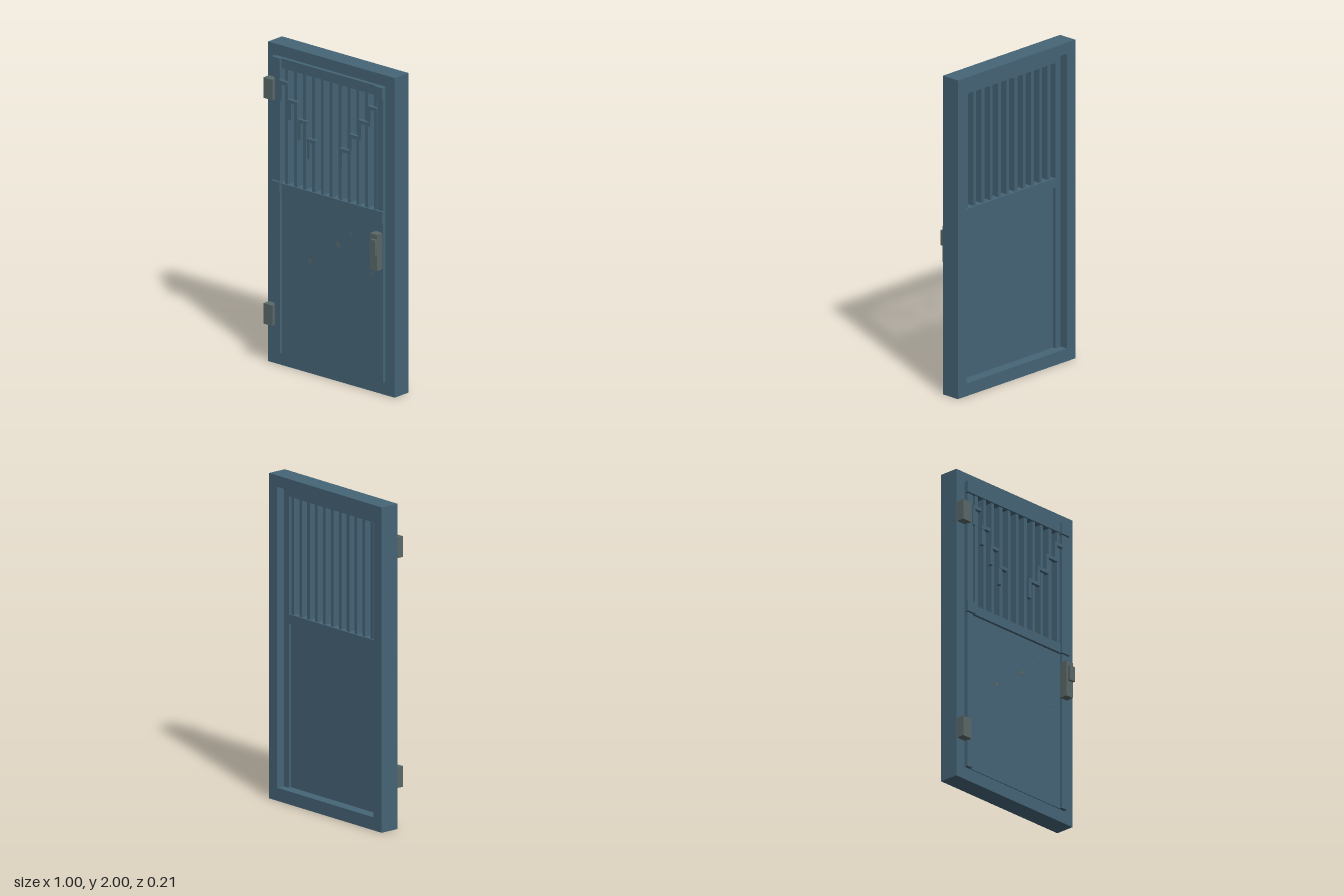
import * as THREE from 'three';

export function createModel() {
  const door = new THREE.Group();
  door.name = 'door';
  const paint = new THREE.MeshStandardMaterial({ color: 0x466577 });
  paint.name = 'blue paint';
  const metal = new THREE.MeshStandardMaterial({ color: 0x5a6868 });
  metal.name = 'worn metal';

  // Box given by its limits along each axis
  function box(name, material, x0, x1, y0, y1, z0, z1) {
    const mesh = new THREE.Mesh(new THREE.BoxGeometry(x1 - x0, y1 - y0, z1 - z0), material);
    mesh.position.set((x0 + x1) / 2, (y0 + y1) / 2, (z0 + z1) / 2);
    mesh.name = name;
    door.add(mesh);
  }

  // Outer frame with one tall opening
  const outline = new THREE.Shape([[-0.5, 0], [0.5, 0], [0.5, 2], [-0.5, 2]].map(p => new THREE.Vector2(...p)));
  outline.holes.push(new THREE.Path(
    [[-0.428, 0.08], [-0.428, 1.93], [0.428, 1.93], [0.428, 0.08]].map(p => new THREE.Vector2(...p))));
  const frame = new THREE.Mesh(new THREE.ExtrudeGeometry(outline, { depth: 0.124, bevelEnabled: false }), paint);
  frame.position.z = -0.108;
  frame.name = 'outerFrame';
  door.add(frame);

  // Leaf: stiles, rails and lower panel
  const back = -0.056, front = 0.04;
  box('leftStile', paint, 0.384, 0.428, 0.08, 1.93, back, front);
  box('rightStile', paint, -0.428, -0.384, 0.08, 1.93, back, front);
  box('topRail', paint, -0.384, 0.384, 1.87, 1.93, back, front);
  box('middleRail', paint, -0.384, 0.384, 1.087, 1.147, back, front);
  box('lowerPanel', paint, -0.384, 0.384, 0.08, 1.087, -0.038, 0.022);

  // Deep upright slats in the upper opening
  for (let i = 0; i < 11; i++) {
    const x = -0.341 + i * 0.0702;
    box('slat', paint, x - 0.0115, x + 0.0115, 1.147, 1.87, -0.045, 0.03);
  }

  // Stepped ornament, descending towards the middle on both sides
  for (let i = 0; i < 4; i++) {
    const top = 1.793 - i * 0.105;
    const sides = [[-0.389 + i * 0.0747, 0.071], [0.315 - i * 0.0747, i ? 0.095 : 0.071]];
    for (const [x, length] of sides) {
      box('ornamentStep', paint, x, x + length, top - 0.022, top, 0.025, 0.05);
      box('ornamentDrop', paint, x, x + 0.022, top - 0.127, top - 0.022, 0.025, 0.048);
    }
  }

  // Square blocks at the rail joints
  for (const x of [-0.407, 0.403])
    for (const y of [1.896, 1.12])
      box('cornerBlock', paint, x - 0.033, x + 0.033, y - 0.036, y + 0.036, 0.03, 0.055);

  // Hinges
  for (const y of [0.313, 1.726])
    box('hinge', metal, -0.493, -0.423, y - 0.064, y + 0.064, 0.01, 0.066);

  // Lock case and handle
  box('lockCase', metal, 0.37, 0.425, 0.793, 1.02, 0.035, 0.09);
  box('lockHandle', metal, 0.382, 0.425, 0.895, 0.99, 0.088, 0.106);

  // Chips in the panel paint
  for (const [x, y, s] of [[0.056, 0.857, 0.026], [-0.164, 0.704, 0.024], [0.156, 0.947, 0.014], [0.325, 0.735, 0.018]])
    box('paintChip', metal, x - s / 2, x + s / 2, y - s / 2, y + s / 2, 0.021, 0.024);

  return door;
}
